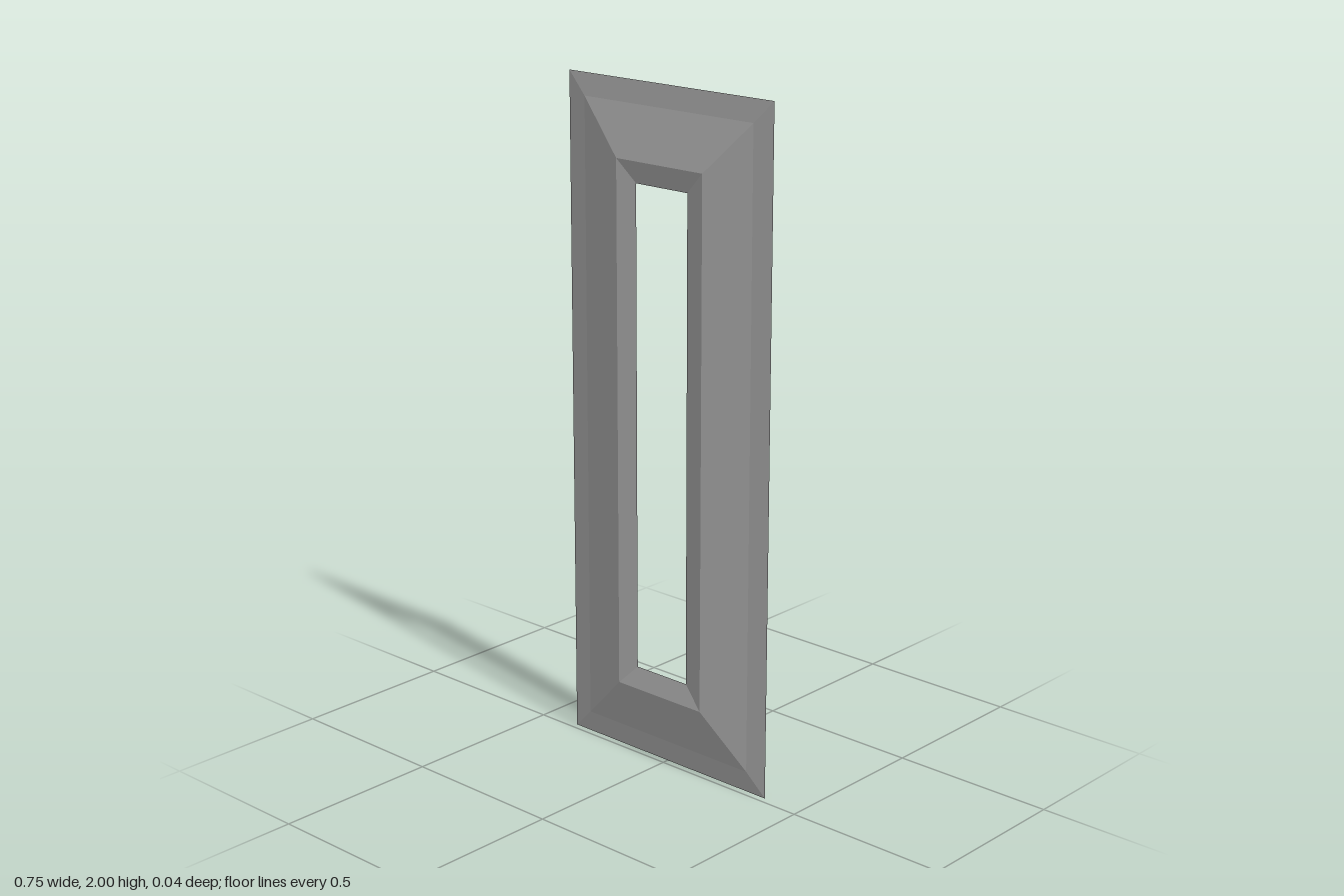
import * as THREE from 'three';

const WIDTH = 0.75, HEIGHT = 2;

// Moulding cross-section from the outer edge inward: [inset, z]
const PROFILE = [[0, -0.02], [0.065, -0.013], [0.216, 0.019], [0.28, 0.007]];

// Corners of the rectangle at a given inset, counter-clockwise from the front
function ring([inset, z]) {
  const x = WIDTH / 2 - inset, y0 = inset, y1 = HEIGHT - inset;
  return [[-x, y0, z], [x, y0, z], [x, y1, z], [-x, y1, z]];
}

// One mitred side of the frame: a strip of flat facets between nested rings
function sideGeometry(side) {
  const positions = [];
  const next = (side + 1) % 4;
  for (let i = 0; i < PROFILE.length - 1; i++) {
    const outer = ring(PROFILE[i]), inner = ring(PROFILE[i + 1]);
    const a = outer[side], b = outer[next], c = inner[next], d = inner[side];
    positions.push(...a, ...b, ...c, ...a, ...c, ...d);
  }
  const geometry = new THREE.BufferGeometry();
  geometry.setAttribute('position', new THREE.Float32BufferAttribute(positions, 3));
  geometry.computeVertexNormals();
  return geometry;
}

export function createModel() {
  const model = new THREE.Group();
  model.name = 'windowFrame';

  const grey = new THREE.MeshStandardMaterial({
    color: 0xb0b0b0, flatShading: true, side: THREE.DoubleSide,
  });
  grey.name = 'frame grey';

  // Open sheet moulding: four mitred sides around the opening
  ['bottomRail', 'leftStile', 'topRail', 'rightStile'].forEach((name, side) => {
    const mesh = new THREE.Mesh(sideGeometry(side), grey);
    mesh.name = name;
    model.add(mesh);
  });
  return model;
}
